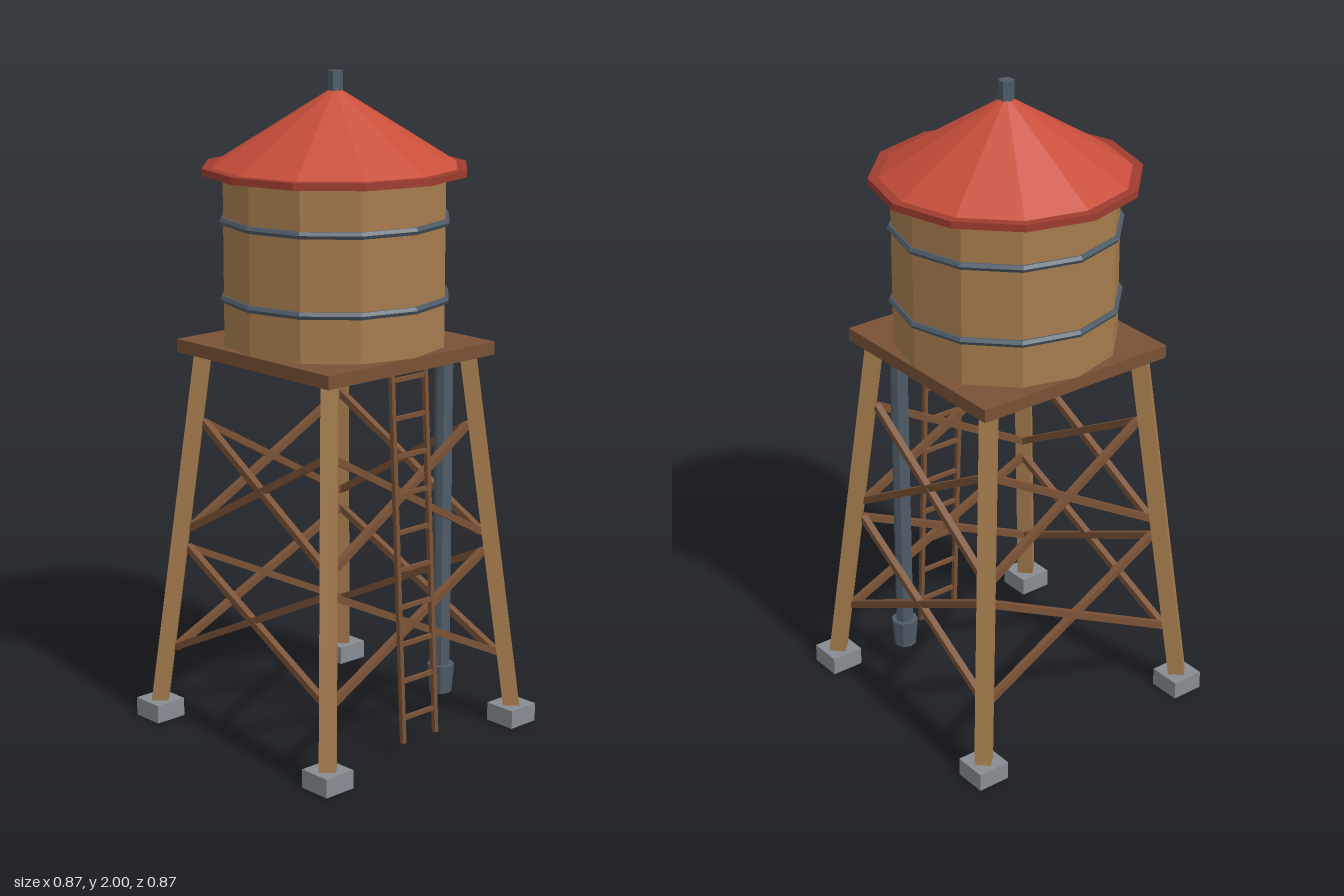
import * as THREE from 'three';

const mat = (name, color) => {
  const m = new THREE.MeshStandardMaterial({ color, flatShading: true });
  m.name = name;
  return m;
};

export function createModel() {
  const wood = mat('wood', 0xa67c4e);
  const darkWood = mat('dark wood', 0x7a5236);
  const roofRed = mat('roof red', 0xc84e3a);
  const eaveRed = mat('eave red', 0x9e3c2f);
  const metal = mat('metal', 0x4f5c68);
  const stone = mat('stone', 0x868d92);

  const model = new THREE.Group();
  model.name = 'waterTower';

  const add = (name, geometry, material, x = 0, y = 0, z = 0, parent = model) => {
    const mesh = new THREE.Mesh(geometry, material);
    mesh.name = name;
    mesh.position.set(x, y, z);
    parent.add(mesh);
    return mesh;
  };
  // Upright cylinder between two heights
  const drum = (name, material, rTop, rBottom, y0, y1, sides, x = 0, z = 0) =>
    add(name, new THREE.CylinderGeometry(rTop, rBottom, y1 - y0, sides), material, x, (y0 + y1) / 2, z);
  // Square bar between two points
  const beam = (name, material, a, b, size, parent = model) => {
    const mid = a.clone().add(b).multiplyScalar(0.5);
    const mesh = add(name, new THREE.BoxGeometry(size, size, a.distanceTo(b)), material, mid.x, mid.y, mid.z, parent);
    mesh.lookAt(b);
    return mesh;
  };
  const V = (x, y, z) => new THREE.Vector3(x, y, z);
  // Distance of a leg's centre line from the axes at height y
  const legAt = (y) => 0.385 - 0.105 * (y - 0.05) / 1.11;

  // Legs and footings
  for (const sx of [-1, 1]) {
    for (const sz of [-1, 1]) {
      const b = legAt(0.03), t = legAt(1.17);
      beam('leg', wood, V(sx * b, 0.03, sz * b), V(sx * t, 1.17, sz * t), 0.05);
      add('footing', new THREE.BoxGeometry(0.104, 0.057, 0.104), stone, sx * 0.385, 0.0285, sz * 0.385);
    }
  }

  // Two tiers of cross braces on each side
  for (let i = 0; i < 4; i++) {
    const side = new THREE.Group();
    side.name = 'braces';
    for (const [y0, y1] of [[0.225, 0.55], [0.61, 0.945]]) {
      const p = legAt(y0) - 0.02, q = legAt(y1) - 0.02;
      for (const s of [-1, 1]) {
        beam('brace', darkWood, V(-s * p, y0, p), V(s * q, y1, q), 0.021, side);
      }
    }
    side.rotation.y = i * Math.PI / 2;
    model.add(side);
  }

  // Platform and tank
  add('platform', new THREE.BoxGeometry(0.67, 0.04, 0.67), darkWood, 0, 1.18, 0);
  drum('tank', wood, 0.335, 0.335, 1.2, 1.71, 12);
  for (const y of [1.34, 1.57]) {
    const hoop = add('hoop', new THREE.TorusGeometry(0.335, 0.012, 6, 12), metal, 0, y, 0);
    hoop.rotation.x = Math.PI / 2;
  }

  // Roof
  drum('eave', eaveRed, 0.397, 0.397, 1.705, 1.726, 12);
  add('roof', new THREE.ConeGeometry(0.368, 0.23, 12), roofRed, 0, 1.841, 0);
  drum('roofVent', metal, 0.023, 0.023, 1.92, 2, 6);

  // Outlet pipe
  drum('pipe', metal, 0.027, 0.027, 0.12, 1.165, 8, 0.23, 0.23);
  drum('pipeNozzle', metal, 0.042, 0.034, 0.095, 0.185, 8, 0.23, 0.23);

  // Leaning ladder
  const ladder = new THREE.Group();
  ladder.name = 'ladder';
  const ladderZ = (y) => 0.37 - 0.06 * (y - 0.045) / 1.12;
  for (const s of [-1, 1]) {
    beam('ladderRail', darkWood, V(s * 0.067, 0.045, ladderZ(0.045)), V(s * 0.067, 1.165, ladderZ(1.165)), 0.014, ladder);
  }
  for (let i = 0; i < 10; i++) {
    const y = 0.122 + i * 0.113;
    add('ladderRung', new THREE.BoxGeometry(0.134, 0.012, 0.012), darkWood, 0, y, ladderZ(y), ladder);
  }
  model.add(ladder);

  return model;
}
